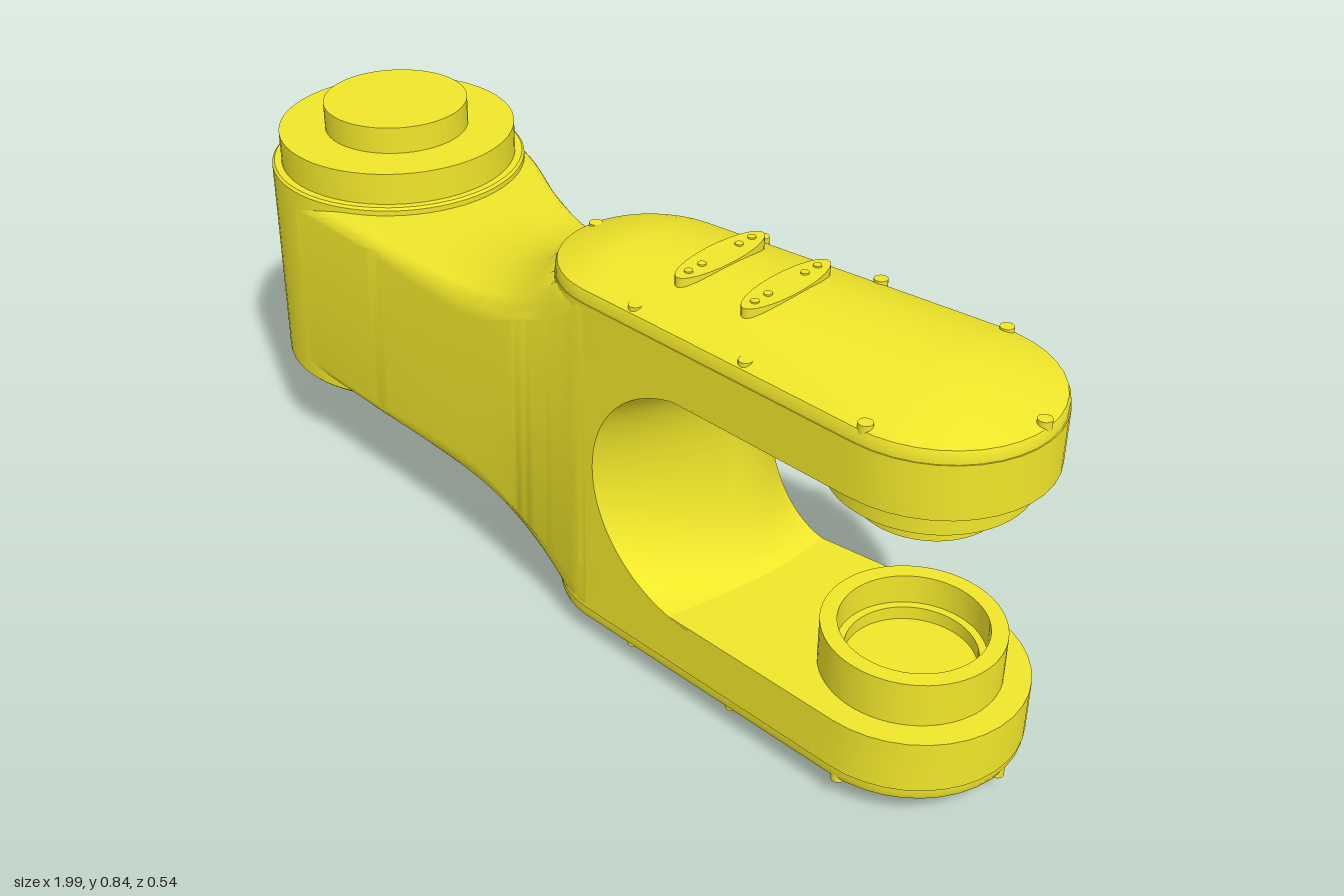
import * as THREE from 'three';
import { toCreasedNormals } from 'three/addons/utils/BufferGeometryUtils.js';

const MID = 0.42; // height of the mirror plane
const lerp = THREE.MathUtils.lerp;
const mat = new THREE.MeshStandardMaterial({ color: 0xf0e62a, side: THREE.DoubleSide });

function add(parent, name, geo, x = 0, y = 0, z = 0) {
  const m = new THREE.Mesh(geo, mat);
  m.name = name;
  m.position.set(x, y, z);
  parent.add(m);
  return m;
}

// smooth curve through [x, value] points
function smooth(pts) {
  const slope = (i) => {
    const a = pts[Math.max(i - 1, 0)], b = pts[Math.min(i + 1, pts.length - 1)];
    return (b[1] - a[1]) / (b[0] - a[0]);
  };
  return (x) => {
    if (x <= pts[0][0]) return pts[0][1];
    if (x >= pts.at(-1)[0]) return pts.at(-1)[1];
    let i = 0;
    while (x > pts[i + 1][0]) i++;
    const w = pts[i + 1][0] - pts[i][0], t = (x - pts[i][0]) / w, t2 = t * t, t3 = t2 * t;
    return (2 * t3 - 3 * t2 + 1) * pts[i][1] + (t3 - 2 * t2 + t) * w * slope(i)
      + (3 * t2 - 2 * t3) * pts[i + 1][1] + (t3 - t2) * w * slope(i + 1);
  };
}

// skin over a list of closed loops of [x, y, z]
function skin(loops, crease = 0.6) {
  const n = loops[0].length, index = [];
  for (let i = 0; i < loops.length - 1; i++) {
    for (let j = 0; j < n; j++) {
      const a = i * n + j, b = i * n + (j + 1) % n;
      index.push(a, b, a + n, b, b + n, a + n);
    }
  }
  const g = new THREE.BufferGeometry();
  g.setAttribute('position', new THREE.Float32BufferAttribute(loops.flat(2), 3));
  g.setIndex(index);
  return toCreasedNormals(g, crease);
}

const lathe = (pts) => toCreasedNormals(
  new THREE.LatheGeometry(pts.map((p) => new THREE.Vector2(...p)), 64), 0.5);

// tapered capsule outline of the fork arms, as [x, -z]; s shrinks it to its spine
const C1 = [0.165, -0.075], R1 = 0.175, C2 = [0.78, 0], R2 = 0.215;
function outline(s) {
  const dx = C2[0] - C1[0], dy = C2[1] - C1[1];
  const b = Math.atan2(dy, dx), a = Math.acos((R1 - R2) / Math.hypot(dx, dy));
  const pts = [];
  const arc = (c, r, from, to) => {
    for (let i = 0; i <= 20; i++) {
      const t = lerp(from, to, i / 20);
      pts.push([c[0] + r * s * Math.cos(t), c[1] + r * s * Math.sin(t)]);
    }
  };
  const side = (c, r, t) => {
    const p = pts.at(-1), q = [c[0] + r * s * Math.cos(t), c[1] + r * s * Math.sin(t)];
    for (let i = 1; i < 12; i++) pts.push([lerp(p[0], q[0], i / 12), lerp(p[1], q[1], i / 12)]);
  };
  arc(C2, R2, b - a, b + a);
  side(C1, R1, b + a);
  arc(C1, R1, b + a, b - a + 2 * Math.PI);
  side(C2, R2, b - a);
  return pts;
}

// neck from the hub to the fork: rounded sections that flare up to the arm ends
function neckGeometry() {
  const back = smooth([[-0.725, -0.27], [-0.65, -0.262], [-0.55, -0.233], [-0.4, -0.17],
    [-0.25, -0.122], [-0.1, -0.1], [0.05, -0.097], [0.18, -0.105]]);
  const front = (x) => lerp(0.27, 0.25, (x + 0.725) / 0.905);
  const half = smooth([[-0.42, 0.214], [-0.32, 0.217], [-0.22, 0.23], [-0.14, 0.254], [-0.07, 0.29], [0, 0.34], [0.01, 0.34]]);
  const round = smooth([[-0.5, 0.03], [-0.3, 0.045], [-0.15, 0.045], [0, 0.012]]);
  // quarter-section points: [side fraction, corner drop]
  const quarter = [];
  for (let i = 0; i <= 6; i++) quarter.push([0.86 * i / 6, 0]);
  for (let i = 1; i <= 6; i++) {
    const t = i / 6 * Math.PI / 2;
    quarter.push([0.86 + 0.14 * Math.sin(t), 1 - Math.cos(t)]);
  }
  const rev = [...quarter].reverse();
  const section = [
    ...quarter.map(([w, d]) => [w, d, 1]), ...rev.map(([w, d]) => [w, d, -1]),
    ...quarter.slice(1).map(([w, d]) => [-w, d, -1]), ...rev.slice(0, -1).map(([w, d]) => [-w, d, 1])];
  const loops = [];
  for (let i = 0; i <= 60; i++) {
    loops.push(section.map(([w, d, s]) => {
      const x = lerp(-0.725 + 0.24 * Math.sqrt(Math.max(0, 1 - w * w)), 0.18, i / 60);
      const z = lerp(back(x), front(x), (w + 1) / 2);
      const k = Math.min(1, Math.abs(z - 0.075) / 0.175);
      const shift = 0.175 * (1 - Math.sqrt(1 - k * k));
      return [x, MID + s * (half(x - shift) - round(x) * d), z];
    }));
  }
  return skin(loops, 0.8);
}

// web at the root of the fork, with a scooped, crowned inner face
function webGeometry() {
  const zF = (x) => 0.25 - 0.057 * (x - 0.175), zB = (x) => -0.097 - 0.19 * (x - 0.133);
  const depth = (w) => w > -0.3 ? 0.1 + 0.15 * ((w + 0.3) / 1.3) ** 1.5 : 0.1 + 0.06 * ((-0.3 - w) / 0.7) ** 2;
  const loops = [];
  for (let i = 0; i <= 40; i++) {
    const t = (i / 40 - 0.5) * Math.PI, y = MID + 0.24 * Math.sin(t);
    const end = (w) => 0.45 - depth(w) * Math.cos(t);
    const loop = [];
    for (let j = 0; j < 4; j++) { const x = lerp(0.16, end(1), j / 4); loop.push([x, y, zF(x)]); }
    for (let j = 0; j <= 20; j++) {
      const w = 1 - j / 10, x = end(w);
      loop.push([x, y, lerp(zB(x), zF(x), (w + 1) / 2)]);
    }
    for (let j = 1; j <= 4; j++) { const x = lerp(end(-1), 0.16, j / 4); loop.push([x, y, zB(x)]); }
    loops.push(loop);
  }
  return skin(loops);
}

// one fork arm with domed cover, pads and bolts, measured upwards from the mirror plane
function forkArm(name) {
  const arm = new THREE.Group();
  arm.name = name;
  const shape = new THREE.Shape(outline(1).map((p) => new THREE.Vector2(...p)));
  const plate = new THREE.ExtrudeGeometry(shape, { depth: 0.105, bevelEnabled: false });
  add(arm, 'armPlate', toCreasedNormals(plate.rotateX(-Math.PI / 2), 0.5), 0, 0.235, 0);

  const crown = (x, s) => 0.362 + 0.052 * (1 - s * s) * (1 - 0.5 * ((x - 0.42) / 0.55) ** 2);
  const loops = [outline(0.99).map(([x, v]) => [x, 0.338, -v]), outline(0.99).map(([x, v]) => [x, 0.354, -v])];
  for (const s of [0.97, 0.93, 0.85, 0.75, 0.6, 0.45, 0.3, 0.15, 0]) {
    loops.push(outline(s).map(([x, v]) => [x, crown(x, s), -v]));
  }
  add(arm, 'domedCover', skin(loops));

  for (const [x, z] of [[0.31, 0.042], [0.46, 0.03]]) {
    const pad = new THREE.Group();
    pad.name = 'coverPad';
    pad.position.set(x, 0.395, z);
    pad.rotation.y = 0.1;
    add(pad, 'padPlate', new THREE.CylinderGeometry(1, 1, 0.044, 36).scale(0.034, 1, 0.115));
    for (const dz of [-0.085, -0.05, 0.05, 0.085]) {
      add(pad, 'padScrew', new THREE.CylinderGeometry(0.008, 0.008, 0.006, 12), 0, 0.022, dz);
    }
    arm.add(pad);
  }
  for (const [x, z] of [[0.255, -0.118], [0.505, -0.163], [0.757, -0.2], [0.978, -0.022],
    [0.8, 0.197], [0.543, 0.207], [0.288, 0.222], [0.013, 0.075]]) {
    add(arm, 'coverBolt', new THREE.CylinderGeometry(0.013, 0.013, 0.03, 16), x, 0.36, z);
  }
  return arm;
}

export function createModel() {
  const model = new THREE.Group();
  model.name = 'forkedArmLink';

  // hub with a stepped bore below and a stepped cap on top
  add(model, 'hub', lathe([[0, 0.5], [0.2, 0.5], [0.2, 0.33], [0.21, 0.33], [0.21, 0.193], [0.265, 0.193], [0.27, 0.198],
    [0.27, 0.645], [0.265, 0.65], [0.25, 0.65], [0.25, 0.718], [0.152, 0.718], [0.152, 0.775], [0, 0.775]]), -0.728);
  for (const [x, z, turn] of [[-0.918, 0.19, -0.79], [-0.728, -0.268, Math.PI]]) {
    const bolt = add(model, 'hubBolt', new THREE.CylinderGeometry(0.018, 0.018, 0.012, 16).rotateX(Math.PI / 2), x, 0.59, z);
    bolt.rotation.y = turn;
  }

  add(model, 'neck', neckGeometry());
  add(model, 'forkWeb', webGeometry());

  const upper = forkArm('upperArm'), lower = forkArm('lowerArm');
  upper.position.y = lower.position.y = MID;
  lower.scale.y = -1;
  model.add(upper, lower);

  // solid stepped boss above, open ring below
  add(model, 'upperBoss', lathe([[0, 0.55], [0.127, 0.55], [0.127, 0.6], [0.178, 0.6], [0.178, 0.67]]), 0.78);
  add(model, 'lowerRing', lathe([[0.166, 0.18], [0.166, 0.275], [0.135, 0.275], [0.135, 0.215], [0.12, 0.215], [0.12, 0.188], [0, 0.188]]), 0.78);
  return model;
}
